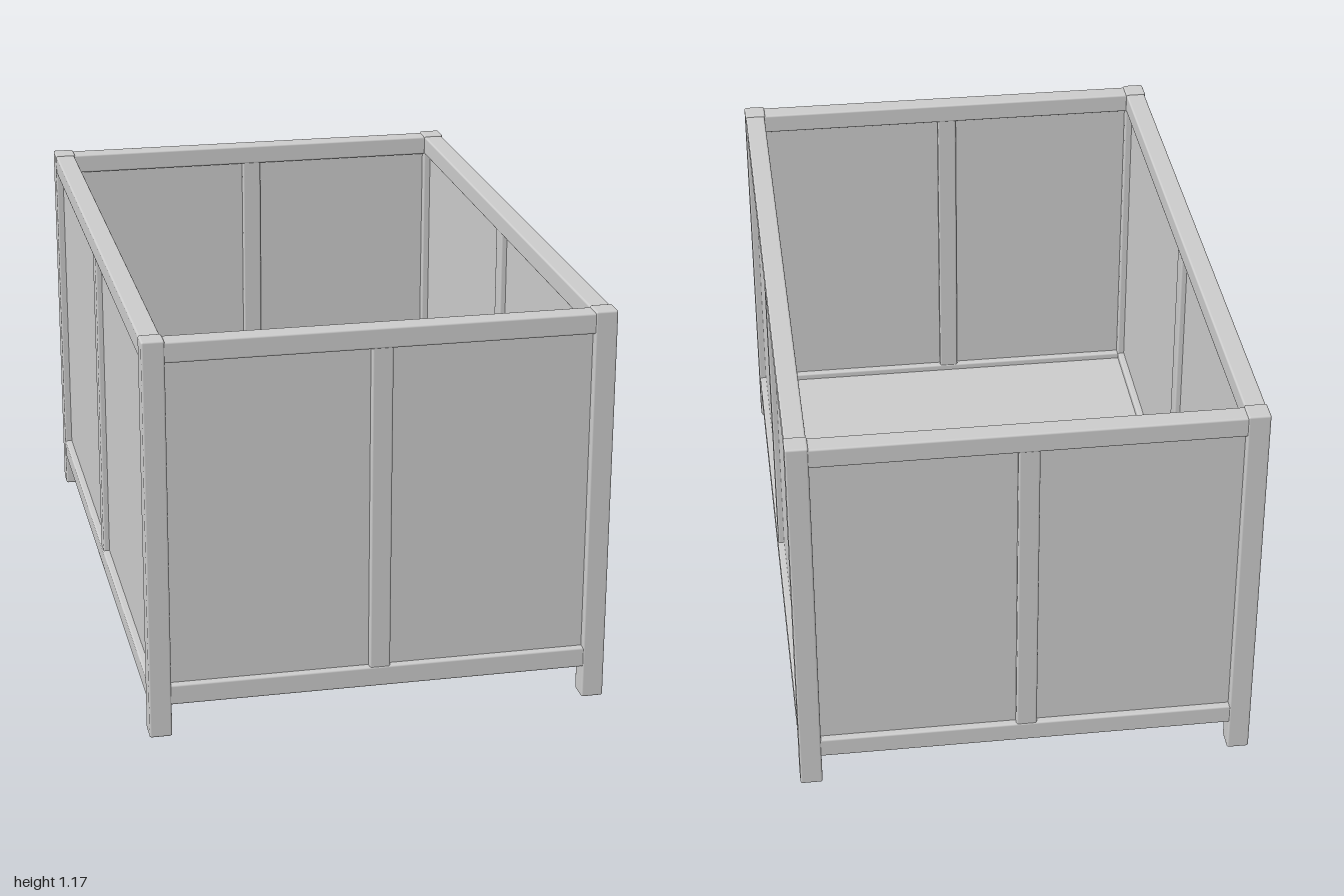
import * as THREE from 'three';
import { RoundedBoxGeometry } from 'three/addons/geometries/RoundedBoxGeometry.js';

export function createModel() {
  const model = new THREE.Group();
  model.name = 'openCrate';
  const material = new THREE.MeshStandardMaterial({ color: 0xcccccc });

  const W = 0.66, D = 1.0, H = 1.17;       // half width, half depth, height
  const T = 0.064;                         // timber thickness
  const cx = W - T / 2, cz = D - T / 2;    // centre lines of the walls
  const low = 0.126, high = 1.135;         // rail heights
  const midY = (low + high) / 2;

  function add(name, geometry, x, y, z) {
    const mesh = new THREE.Mesh(geometry, material);
    mesh.name = name;
    mesh.position.set(x, y, z);
    model.add(mesh);
  }
  const timber = (w, h, d) => new RoundedBoxGeometry(w, h, d, 2, 0.006);
  const board = (w, h, d) => new THREE.BoxGeometry(w, h, d);

  // Corner posts, running down into short feet
  for (const x of [-cx, cx]) {
    for (const z of [-cz, cz]) add('cornerPost', timber(T, H, T), x, H / 2, z);
  }

  for (const s of [-1, 1]) {
    // Top and bottom rails
    for (const y of [low, high]) {
      add('endRail', timber(2 * cx - T + 0.02, 0.06, 0.06), 0, y, s * cz);
      add('sideRail', timber(0.06, 0.06, 2 * cz - T + 0.02), s * cx, y, 0);
    }
    // Centre stiles
    add('endStile', timber(0.06, high - low, 0.056), 0, midY, s * cz);
    add('sideStile', timber(0.056, high - low, 0.06), s * cx, midY, 0);
    // Recessed wall panels
    add('endPanel', board(2 * cx, high - low, 0.02), 0, midY, s * cz);
    add('sidePanel', board(0.02, high - low, 2 * cz), s * cx, midY, 0);
  }

  // Floor and the cross bar beneath it
  add('floorPanel', board(2 * cx, 0.02, 2 * cz), 0, low, 0);
  add('floorCrossBar', timber(2 * cx - T + 0.02, 0.03, 0.06), 0, 0.112, 0);

  return model;
}
